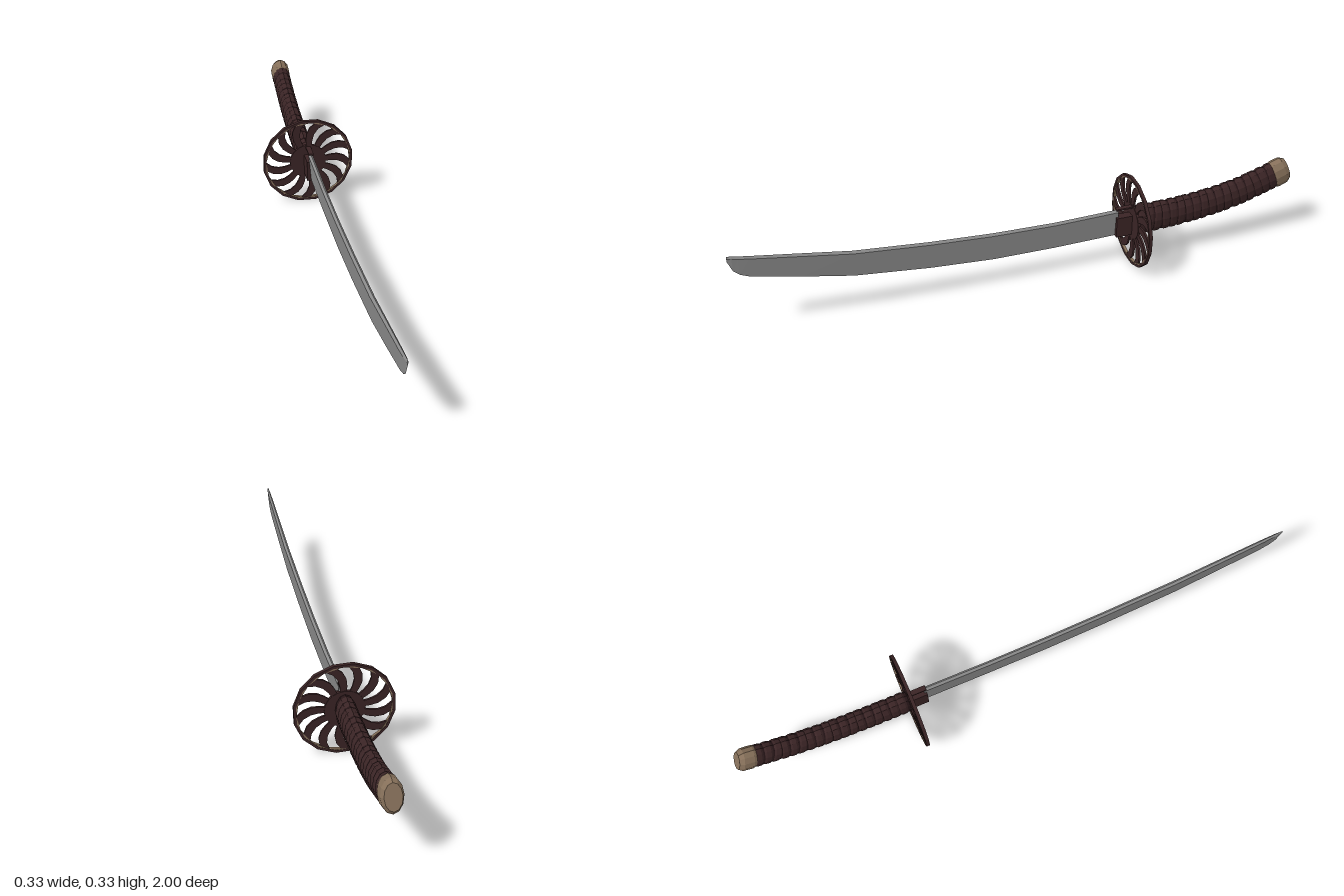
import * as THREE from 'three';

const mat = (name, color, flat = true) => {
  const m = new THREE.MeshStandardMaterial({ color, flatShading: flat });
  m.name = name;
  return m;
};

// Closed, capped skin over cross-sections ordered from +z to -z (points anticlockwise seen from +z)
function loft(sections) {
  const pos = [];
  const n = sections[0].length;
  const tri = (...p) => p.forEach((v) => pos.push(v.x, v.y, v.z));
  for (let i = 0; i < sections.length - 1; i++) {
    const a = sections[i], b = sections[i + 1];
    for (let j = 0; j < n; j++) {
      const k = (j + 1) % n;
      tri(a[j], b[j], b[k]);
      tri(a[j], b[k], a[k]);
    }
  }
  const first = sections[0], last = sections[sections.length - 1];
  for (let j = 1; j < n - 1; j++) {
    tri(first[0], first[j], first[j + 1]);
    tri(last[0], last[j + 1], last[j]);
  }
  const g = new THREE.BufferGeometry();
  g.setAttribute('position', new THREE.Float32BufferAttribute(pos, 3));
  g.computeVertexNormals();
  return g;
}

export function createModel() {
  const model = new THREE.Group();
  model.name = 'curvedSword';
  const steel = mat('steel', 0x8c8c8c);
  const wrap = mat('dark wrap', 0x3a2425);
  const seam = mat('seam', 0x241416);
  const brass = mat('aged brass', 0x86705a);

  const add = (parent, name, geometry, material) => {
    const m = new THREE.Mesh(geometry, material);
    m.name = name;
    parent.add(m);
    return m;
  };

  // Blade: z, spine height, edge height, half thickness
  const bladeRows = [
    [1.0, 0.32, 0.30, 0.002], [0.985, 0.318, 0.262, 0.004], [0.965, 0.314, 0.243, 0.005],
    [0.93, 0.308, 0.228, 0.006], [0.77, 0.283, 0.192, 0.007], [0.6, 0.256, 0.157, 0.008],
    [0.34, 0.234, 0.13, 0.008], [0.12, 0.222, 0.116, 0.008], [-0.1, 0.218, 0.115, 0.008],
    [-0.335, 0.224, 0.12, 0.008],
  ];
  add(model, 'blade', loft(bladeRows.map(([z, top, low, w]) => [
    new THREE.Vector3(0, top, z),
    new THREE.Vector3(-w, top - 0.008, z),
    new THREE.Vector3(0, low, z),
    new THREE.Vector3(w, top - 0.008, z),
  ])), steel);

  // Collar between blade and guard, with a thin bridge above an open slot
  const collar = add(model, 'bladeCollar', new THREE.BoxGeometry(0.03, 0.077, 0.066), wrap);
  collar.position.set(0, 0.157, -0.36);
  const bridge = add(model, 'collarBridge', new THREE.BoxGeometry(0.018, 0.006, 0.066), wrap);
  bridge.position.set(0, 0.226, -0.36);

  // Guard: hub, swept spokes and a faceted rim
  const guard = new THREE.Group();
  guard.name = 'guard';
  guard.position.set(0, 0.168, -0.39);
  model.add(guard);
  const hub = add(guard, 'guardHub', new THREE.CylinderGeometry(0.067, 0.067, 0.01, 20), wrap);
  hub.rotation.x = Math.PI / 2;

  // Spoke outline: radius, sweep angle, half width
  const spokeRows = [[0.06, 0, 0.01], [0.085, 0.02, 0.012], [0.11, -0.01, 0.014],
    [0.135, -0.1, 0.016], [0.158, -0.24, 0.0175]];
  const edge = (side) => spokeRows.map(([r, a, w]) => {
    const t = a + side * w / r;
    return new THREE.Vector2(r * Math.cos(t), r * Math.sin(t));
  });
  const spokeGeo = new THREE.ExtrudeGeometry(
    new THREE.Shape([...edge(-1), ...edge(1).reverse()]), { depth: 0.007, bevelEnabled: false });
  spokeGeo.translate(0, 0, -0.0035);
  const SPOKES = 13;
  for (let i = 0; i < SPOKES; i++) {
    add(guard, 'guardSpoke', spokeGeo, wrap).rotation.z = (i + 0.1) / SPOKES * Math.PI * 2;
  }

  const polygon = (Kind, r) => new Kind(Array.from({ length: 16 }, (_, i) => {
    const a = i / 16 * Math.PI * 2;
    return new THREE.Vector2(r * Math.cos(a), r * Math.sin(a));
  }));
  const ring = (outer, inner, depth) => {
    const s = polygon(THREE.Shape, outer);
    s.holes.push(polygon(THREE.Path, inner));
    const g = new THREE.ExtrudeGeometry(s, { depth, bevelEnabled: false });
    return g.translate(0, 0, -depth / 2);
  };
  add(guard, 'guardRim', ring(0.168, 0.159, 0.012), wrap).rotation.z = 0.16;
  add(guard, 'rimInlay', ring(0.1645, 0.156, 0.01), brass).rotation.z = 0.33;

  // Grip: oval sections along an upward-curving path
  const path = new THREE.CatmullRomCurve3([
    [0.168, -0.395], [0.17, -0.5], [0.176, -0.6], [0.188, -0.7],
    [0.208, -0.8], [0.239, -0.9], [0.269, -0.985],
  ].map(([y, z]) => new THREE.Vector3(0, y, z)));
  const SIDES = 12;
  const section = (t, scale, tilt = 0) => {
    const c = path.getPointAt(t);
    const d = path.getTangentAt(t);
    const up = new THREE.Vector3(0, -d.z, d.y);
    const half = (0.059 - 0.006 * t) * scale;
    return Array.from({ length: SIDES }, (_, j) => {
      const a = j / SIDES * Math.PI * 2;
      return c.clone()
        .addScaledVector(up, half * Math.sin(a))
        .addScaledVector(d, tilt * Math.sin(a))
        .add(new THREE.Vector3(0.034 * scale * Math.cos(a), 0, 0));
    });
  };
  const steps = (from, to, n) => Array.from({ length: n + 1 }, (_, i) => from + (to - from) * i / n);
  add(model, 'gripCore', loft(steps(0, 0.92, 16).map((t) => section(t, 0.93))), seam);

  // Overlapping wrap bands, each leaning slightly
  const BANDS = 18;
  const bandSize = 0.895 / BANDS;
  for (let i = 0; i < BANDS; i++) {
    const t = 0.015 + i * bandSize;
    const tilt = i === 0 ? 0 : 0.004 * (i % 3 - 1);
    add(model, 'gripBand', loft([
      section(t, 0.92, tilt),
      section(t + bandSize * 0.25, 1, tilt),
      section(t + bandSize * 0.75, 1, tilt),
      section(t + bandSize, 0.92, tilt),
    ]), wrap);
  }

  // Pommel cap with a chamfered end
  add(model, 'pommel', loft([
    section(0.905, 0.98), section(0.92, 1.04), section(0.975, 1.02), section(1, 0.8),
  ]), brass);

  return model;
}
